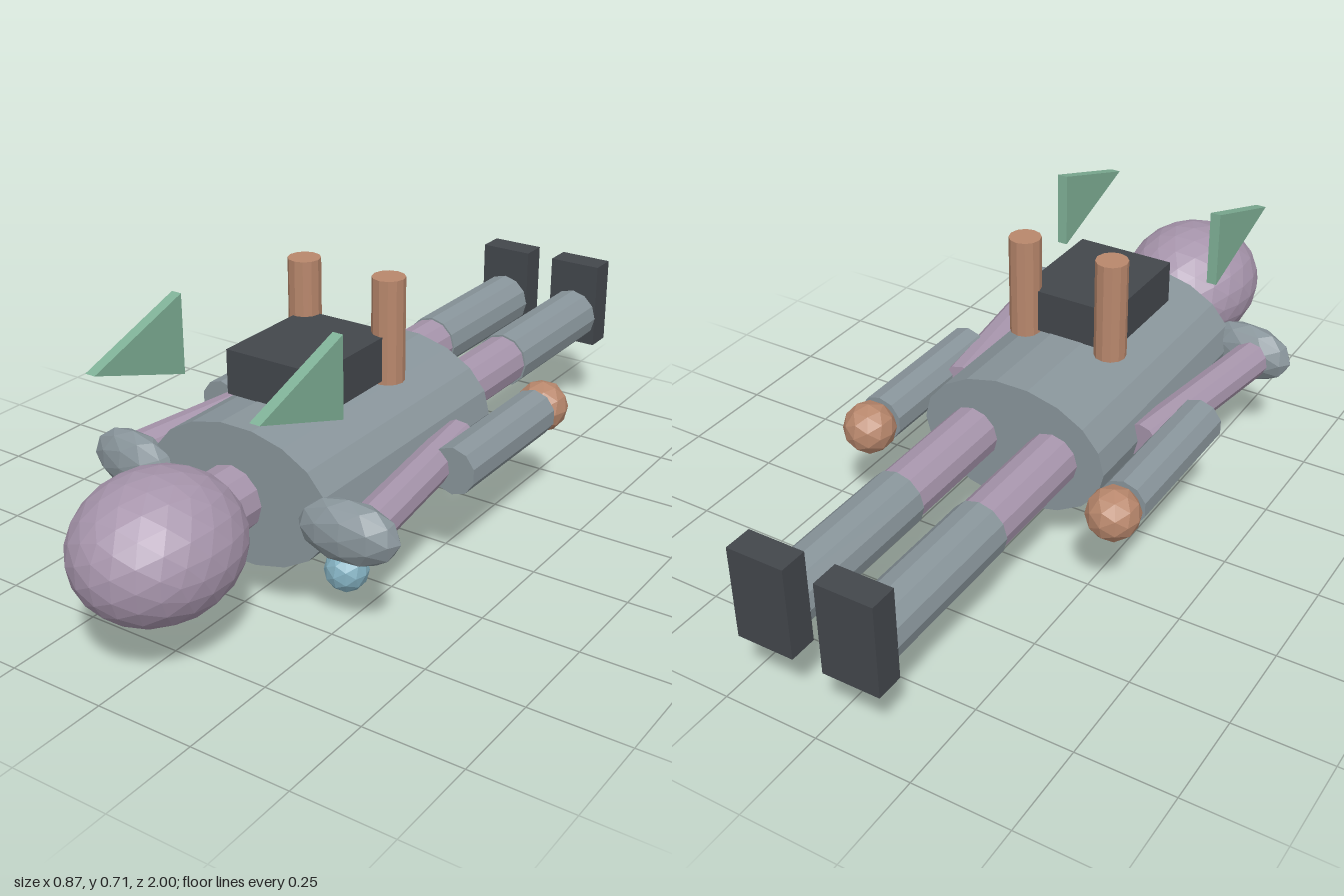
import * as THREE from 'three';

const paint = (color) => new THREE.MeshStandardMaterial({ color, flatShading: true });

export function createModel() {
  const model = new THREE.Group();
  const skin = paint(0xa795ac);
  const cloth = paint(0x89959b);
  const dark = paint(0x43474c);
  const copper = paint(0xb8876c);
  const green = paint(0x7fb096);
  const orange = paint(0xc48a4f);
  const blue = paint(0x83b0c0);
  const midY = 0.292;

  function add(name, geometry, material, x, y, z) {
    const mesh = new THREE.Mesh(geometry, material);
    mesh.name = name;
    mesh.position.set(x, y, z);
    model.add(mesh);
    return mesh;
  }
  const box = (name, mat, w, h, d, x, y, z) => add(name, new THREE.BoxGeometry(w, h, d), mat, x, y, z);

  // Faceted ball with its own radius on each axis
  const ball = (name, mat, rx, ry, rz, x, y, z, detail = 1) =>
    add(name, new THREE.IcosahedronGeometry(1, detail).scale(rx, ry, rz), mat, x, y, z);

  // Round bar between two points
  function bar(name, mat, r, from, to, sides = 12) {
    const a = new THREE.Vector3(...from);
    const b = new THREE.Vector3(...to);
    const dir = b.clone().sub(a);
    const mid = a.add(b).multiplyScalar(0.5);
    const mesh = add(name, new THREE.CylinderGeometry(r, r, dir.length(), sides), mat, mid.x, mid.y, mid.z);
    mesh.quaternion.setFromUnitVectors(new THREE.Vector3(0, 1, 0), dir.normalize());
    return mesh;
  }

  // Oval torso lying along z, with head and neck in front
  const torso = new THREE.CylinderGeometry(1, 1, 0.7, 18, 1, false, Math.PI / 2);
  torso.rotateX(Math.PI / 2).scale(0.255, 0.173, 1);
  add('torso', torso, cloth, 0, 0.291, 0.16);
  bar('neck', skin, 0.082, [0, midY, 0.53], [0, midY, 0.68]);
  ball('head', skin, 0.187, 0.168, 0.213, 0, 0.291, 0.787, 3);

  // Pack on the back
  box('backpack', dark, 0.26, 0.112, 0.305, 0, 0.516, 0.222);

  // Plate and two orbs under the chest
  box('chestPlate', copper, 0.166, 0.022, 0.13, 0, 0.091, 0.275);
  ball('leftOrb', blue, 0.055, 0.056, 0.055, 0.168, 0.058, 0.32);
  ball('rightOrb', orange, 0.055, 0.056, 0.055, -0.168, 0.058, 0.32);

  // Triangular fin outline, drawn in the z-y plane
  const fin = new THREE.Shape([
    new THREE.Vector2(-0.43, 0.51),
    new THREE.Vector2(-0.43, 0.71),
    new THREE.Vector2(-0.725, 0.61),
  ]);

  for (const [side, s] of [['left', 1], ['right', -1]]) {
    // Arms
    ball(side + 'Shoulder', cloth, 0.127, 0.078, 0.053, s * 0.308, midY, 0.513).rotation.y = s * 0.1;
    bar(side + 'UpperArm', skin, 0.05, [s * 0.335, midY, 0.49], [s * 0.265, midY, -0.02], 10);
    bar(side + 'Forearm', cloth, 0.061, [s * 0.345, midY, 0.14], [s * 0.345, midY, -0.26], 10);
    ball(side + 'Hand', copper, 0.067, 0.067, 0.067, s * 0.345, midY, -0.305);

    // Legs
    bar(side + 'Thigh', skin, 0.069, [s * 0.113, midY, -0.18], [s * 0.113, midY, -0.51]);
    bar(side + 'Shin', cloth, 0.074, [s * 0.113, midY, -0.51], [s * 0.113, midY, -0.93]);
    box(side + 'Foot', dark, 0.147, 0.24, 0.072, s * 0.113, 0.33, -0.964);

    // Upright post and floating fin
    bar(side + 'Post', copper, 0.041, [s * 0.122, 0.45, 0.075], [s * 0.122, 0.712, 0.075], 12);
    const finGeometry = new THREE.ExtrudeGeometry(fin, { depth: 0.027, bevelEnabled: false });
    finGeometry.translate(0, 0, -0.0135).rotateY(Math.PI / 2);
    add(side + 'Fin', finGeometry, green, s * 0.224, 0, 0);
  }
  return model;
}
